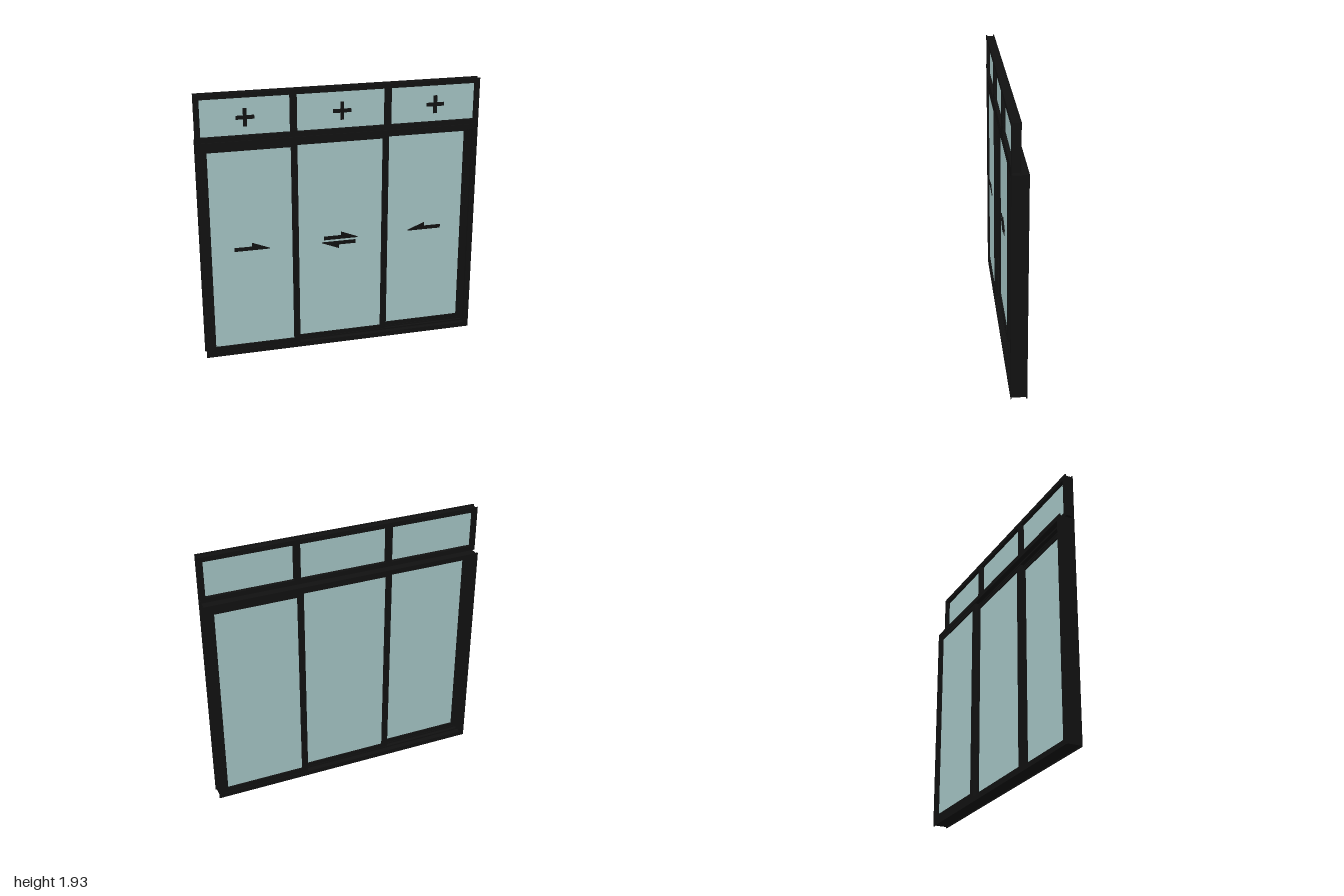
import * as THREE from 'three';

const dark = new THREE.MeshStandardMaterial({ color: 0x111111 });
const glassMat = new THREE.MeshStandardMaterial({ color: 0xa5c5c5 });

function add(parent, name, geometry, material = dark) {
  const mesh = new THREE.Mesh(geometry, material);
  mesh.name = name;
  parent.add(mesh);
  return mesh;
}

function box(parent, name, x0, x1, y0, y1, z0, z1, material) {
  const mesh = add(parent, name, new THREE.BoxGeometry(x1 - x0, y1 - y0, z1 - z0), material);
  mesh.position.set((x0 + x1) / 2, (y0 + y1) / 2, (z0 + z1) / 2);
  return mesh;
}

function extrude(parent, name, shape, z0, z1) {
  const geometry = new THREE.ExtrudeGeometry(shape, { depth: z1 - z0, bevelEnabled: false });
  geometry.translate(0, 0, z0);
  return add(parent, name, geometry);
}

// Rectangular ring with an even border
function ring(parent, name, x0, x1, y0, y1, border, z0, z1) {
  const corners = (d) => [[x0 + d, y0 + d], [x1 - d, y0 + d], [x1 - d, y1 - d], [x0 + d, y1 - d]]
    .map(([x, y]) => new THREE.Vector2(x, y));
  const shape = new THREE.Shape(corners(0));
  shape.holes.push(new THREE.Path(corners(border).reverse()));
  return extrude(parent, name, shape, z0, z1);
}

// Outer frame: recessed core between projecting front and back lips
function channelFrame(parent, name, y0, y1, border, z0, z1) {
  const r = 0.007, lip = 0.007;
  ring(parent, name + 'Core', -1 + r, 1 - r, y0 + r, y1 - r, border - r, z0 + lip, z1 - lip);
  ring(parent, name + 'BackLip', -1, 1, y0, y1, border, z0, z0 + lip);
  ring(parent, name + 'FrontLip', -1, 1, y0, y1, border, z1 - lip, z1);
}

// Half-headed sliding arrow; sx and sy flip it
function arrow(parent, cx, y, z, sx, sy) {
  let points = [[-0.125, 0], [0.125, 0], [0.125, 0.005], [0, 0.055], [0, 0.027], [-0.125, 0.027]]
    .map(([px, py]) => new THREE.Vector2(cx + sx * px, y + sy * py));
  if (sx * sy < 0) points = points.reverse();
  extrude(parent, 'slideArrow', new THREE.Shape(points), z, z + 0.005);
}

export function createModel() {
  const model = new THREE.Group();
  model.name = 'slidingDoorWithTransom';

  // Fixed transom lights
  const transom = new THREE.Group();
  transom.name = 'transom';
  model.add(transom);
  channelFrame(transom, 'transomFrame', 1.607, 1.935, 0.034, -0.015, 0.045);
  for (const x of [-0.333, 0.333]) {
    box(transom, 'transomMullion', x - 0.023, x + 0.023, 1.64, 1.902, -0.015, 0.045);
  }
  box(transom, 'transomGlass', -0.97, 0.97, 1.637, 1.905, 0.01, 0.02, glassMat);

  // Fixed-light plus signs
  const h = 0.0625, t = 0.0125;
  const quarter = [[t, t], [t, h], [-t, h]];
  const plusPoints = [];
  for (let i = 0; i < 4; i++) {
    const c = Math.round(Math.cos(i * Math.PI / 2)), s = Math.round(Math.sin(i * Math.PI / 2));
    for (const [x, y] of quarter) plusPoints.push(new THREE.Vector2(x * c - y * s, x * s + y * c));
  }
  for (const x of [-0.667, 0, 0.667]) {
    extrude(transom, 'fixedSign', new THREE.Shape(plusPoints), 0.057, 0.067).position.set(x, 1.772, 0);
  }

  // Main door frame
  const door = new THREE.Group();
  door.name = 'door';
  model.add(door);
  channelFrame(door, 'doorFrame', 0, 1.605, 0.036, -0.066, 0.045);

  // Three sashes, one per track, stepping back from left to right in the front
  const sashes = [
    { x0: -0.975, x1: -0.31, z: 0.027 },
    { x0: -0.355, x1: 0.355, z: -0.01 },
    { x0: 0.31, x1: 0.975, z: -0.047 },
  ];
  sashes.forEach(({ x0, x1, z }, i) => {
    const sash = new THREE.Group();
    sash.name = 'sash';
    door.add(sash);
    ring(sash, 'sashFrame', x0, x1, 0.03, 1.58, 0.045, z - 0.015, z + 0.015);
    box(sash, 'sashGlass', x0 + 0.04, x1 - 0.04, 0.07, 1.54, z - 0.005, z + 0.005, glassMat);
    const az = z + 0.014;
    if (i === 0) arrow(sash, -0.645, 0.806, az, 1, 1);
    if (i === 1) {
      arrow(sash, 0.005, 0.811, az, 1, 1);
      arrow(sash, -0.01, 0.795, az, -1, -1);
    }
    if (i === 2) arrow(sash, 0.645, 0.806, az, -1, 1);
  });

  // Track ribs on the sill and head between the sashes
  for (const z of [0.0085, -0.0285]) {
    ring(door, 'trackRib', -0.97, 0.97, 0.03, 1.575, 0.018, z - 0.002, z + 0.002);
  }

  return model;
}
